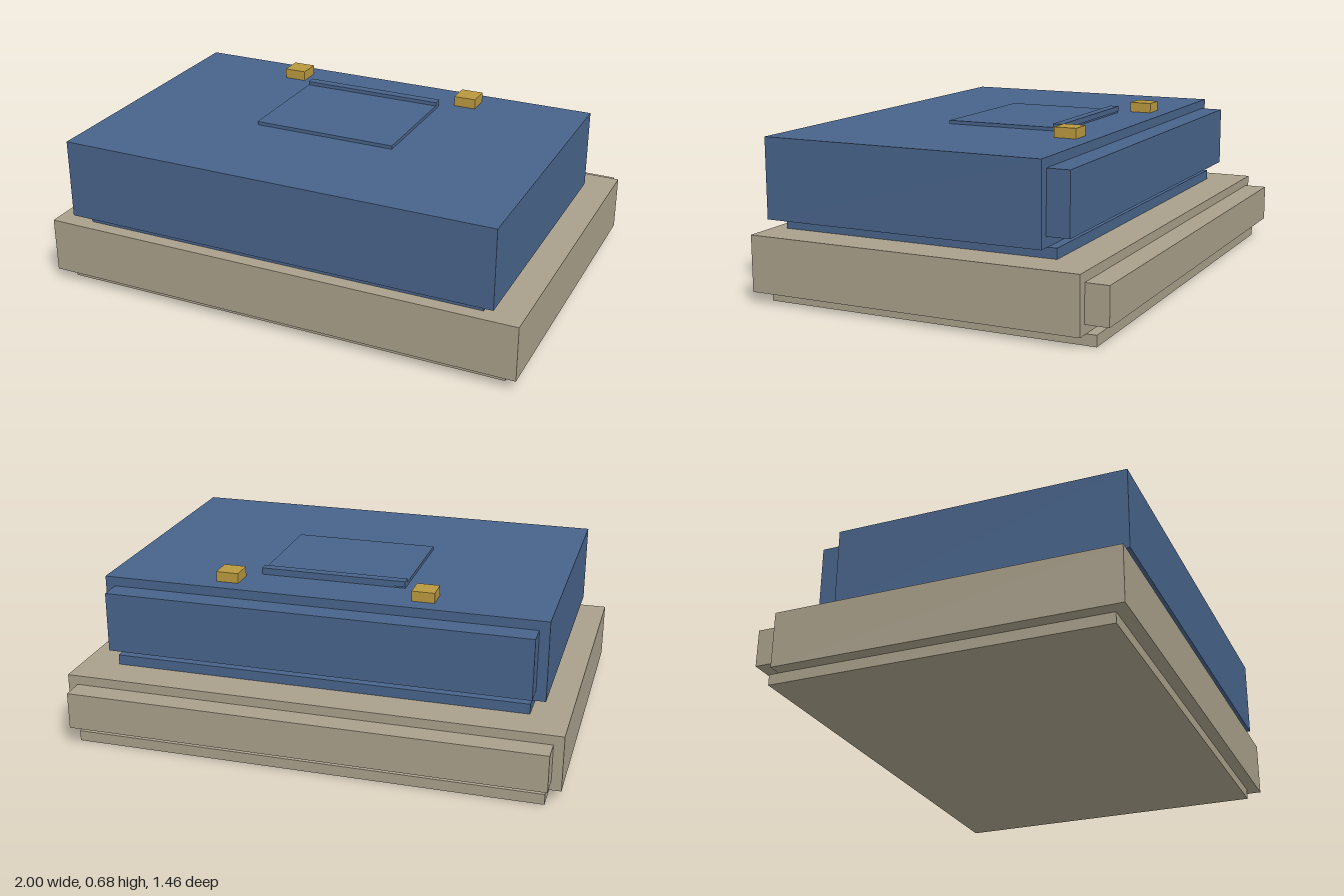
import * as THREE from 'three';

const material = (name, color) => {
  const m = new THREE.MeshStandardMaterial({ color });
  m.name = name;
  return m;
};

export function createModel() {
  const group = new THREE.Group();
  const stone = material('stone', 0xa89f8a);
  const blue = material('blue', 0x48638a);
  const brass = material('brass', 0xb8983f);

  // Box from its x, y and z ranges
  const block = (name, mat, [x0, x1], [y0, y1], [z0, z1]) => {
    const mesh = new THREE.Mesh(new THREE.BoxGeometry(x1 - x0, y1 - y0, z1 - z0), mat);
    mesh.position.set((x0 + x1) / 2, (y0 + y1) / 2, (z0 + z1) / 2);
    mesh.name = name;
    group.add(mesh);
  };

  // Lower case: recessed foot, body and rear strip
  block('foot', stone, [-0.945, 0.945], [0, 0.043], [-0.68, 0.68]);
  block('lowerBody', stone, [-1, 1], [0.043, 0.268], [-0.64, 0.73]);
  block('lowerRearStrip', stone, [-0.96, 0.96], [0.08, 0.23], [-0.733, -0.64]);

  // Upper case: recessed neck, body and rear strip
  block('neck', blue, [-0.847, 0.847], [0.268, 0.309], [-0.485, 0.673]);
  block('upperBody', blue, [-0.9, 0.9], [0.309, 0.634], [-0.448, 0.724]);
  block('upperRearStrip', blue, [-0.86, 0.86], [0.35, 0.596], [-0.54, -0.448]);

  // Raised lid panel with a lip along its rear edge
  block('lidPanel', blue, [-0.298, 0.298], [0.634, 0.648], [-0.25, 0.248]);
  block('lidLip', blue, [-0.298, 0.298], [0.641, 0.663], [-0.255, -0.217]);

  // Pair of latches
  for (const [name, x] of [['leftLatch', 0.4], ['rightLatch', -0.4]]) {
    block(name, brass, [x - 0.046, x + 0.046], [0.634, 0.675], [-0.38, -0.288]);
  }

  return group;
}
